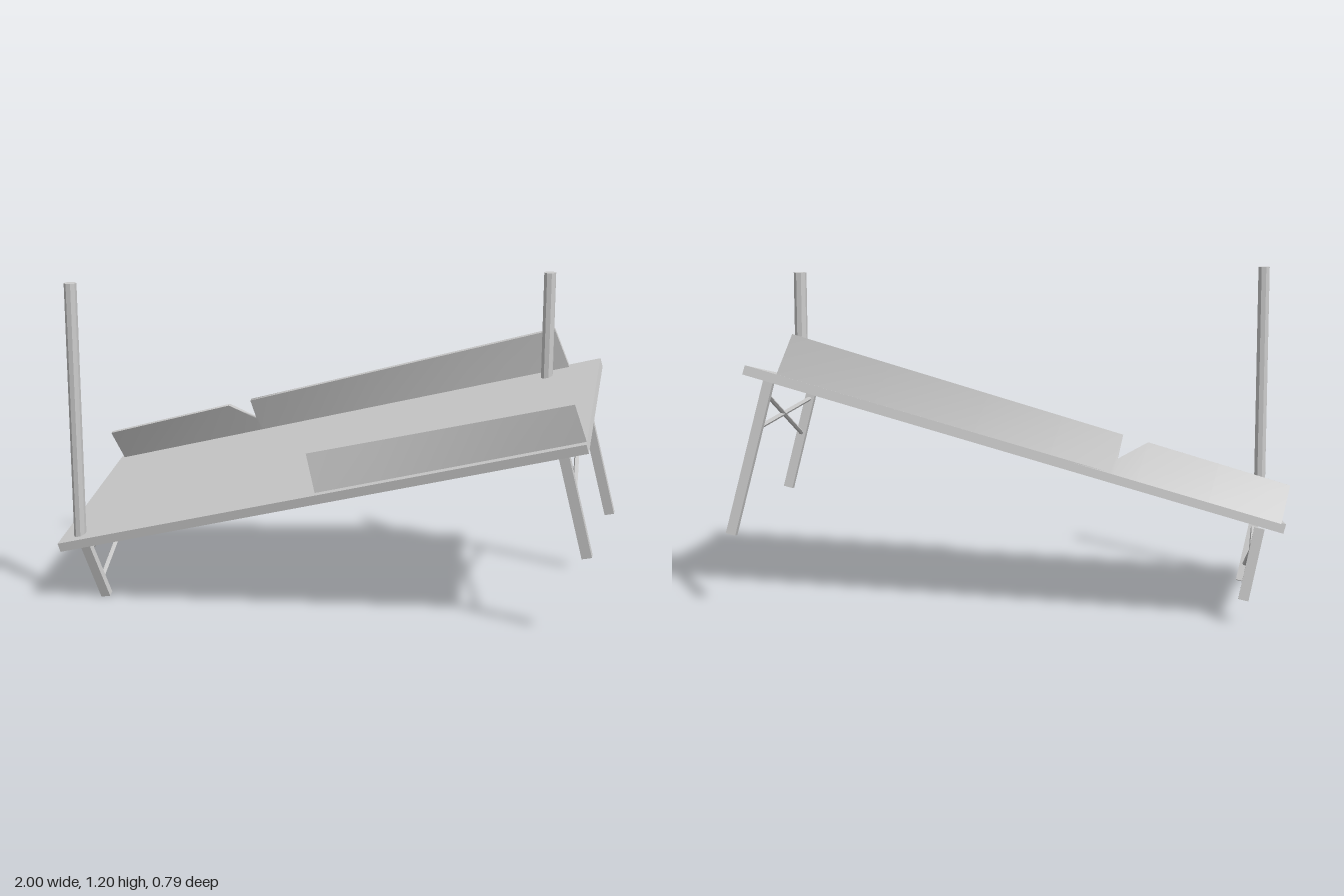
import * as THREE from 'three';

const V = (x, y, z) => new THREE.Vector3(x, y, z);

export function createModel() {
  const model = new THREE.Group();
  const mat = new THREE.MeshStandardMaterial({ color: 0xcccccc });

  const add = (name, geo) => {
    const mesh = new THREE.Mesh(geo, mat);
    mesh.name = name;
    model.add(mesh);
    return mesh;
  };

  // Cylinder with flat facets
  const facetedRod = (radius, height, sides) => {
    const geo = new THREE.CylinderGeometry(radius, radius, height, sides).toNonIndexed();
    geo.rotateY(Math.PI / sides);
    geo.computeVertexNormals();
    return geo;
  };

  // Places a y-aligned mesh so that it runs from a to b
  const span = (mesh, a, b) => {
    mesh.position.copy(a).lerp(b, 0.5);
    mesh.quaternion.setFromUnitVectors(V(0, 1, 0), b.clone().sub(a).normalize());
  };

  // Tilted table top with its own axes, very slightly twisted towards the high end
  const ax = V(0.966, 0.258, 0).normalize();
  const az = ax.clone().cross(V(-0.257, 0.952, 0.165)).normalize();
  const ay = az.clone().cross(ax);
  const thick = 0.034;
  const topGeo = new THREE.BoxGeometry(1.978, thick, 0.765);
  const tp = topGeo.attributes.position;
  for (let i = 0; i < tp.count; i++) {
    if (tp.getX(i) > 0) tp.setY(i, tp.getY(i) - 0.01 * tp.getZ(i));
  }
  topGeo.computeVertexNormals();
  const top = add('tableTop', topGeo);
  top.quaternion.setFromRotationMatrix(new THREE.Matrix4().makeBasis(ax, ay, az));
  top.position.set(-0.006, 0.522, 0.008).addScaledVector(ay, thick / 2);

  // Upright posts
  const post = (name, x, z, y0) => {
    const h = 1.2 - y0;
    add(name, facetedRod(0.0225, h, 8)).position.set(x, y0 + h / 2, z);
  };
  post('frontPost', -0.883, 0.342, 0.25);
  post('backPost', 0.735, -0.292, 0.79);

  // Splayed legs, [top, foot]
  const legs = {
    frontRightLeg: [V(-0.868, 0.235, 0.335), V(-0.82, 0.008, 0.262)],
    backRightLeg: [V(-0.896, 0.335, -0.32), V(-0.846, 0.086, -0.349)],
    frontLeftLeg: [V(0.876, 0.702, 0.335), V(0.966, 0.317, 0.291)],
    backLeftLeg: [V(0.85, 0.812, -0.32), V(0.98, 0.266, -0.387)],
  };
  for (const [name, [a, b]] of Object.entries(legs)) {
    span(add(name, new THREE.BoxGeometry(0.036, a.distanceTo(b), 0.026)), b, a);
  }

  // Crossed braces between the legs of each end, given by their heights on the legs
  const onLeg = (name, y) => {
    const [a, b] = legs[name];
    return a.clone().lerp(b, (a.y - y) / (a.y - b.y));
  };
  const brace = (side, yFront, yBack) => {
    const a = onLeg(`front${side}Leg`, yFront), b = onLeg(`back${side}Leg`, yBack);
    span(add(`brace${side}`, facetedRod(0.0085, a.distanceTo(b), 6)), a, b);
  };
  brace('Right', 0.205, 0.18);
  brace('Right', 0.07, 0.306);
  brace('Left', 0.668, 0.645);
  brace('Left', 0.53, 0.77);

  // Twisted side board: columns of [position along, height share] between four corners
  const board = (name, columns, [b0, b1, t0, t1]) => {
    const n = columns.length - 1;
    const geo = new THREE.BoxGeometry(1, 1, 0.018, n, 1, 1);
    const pos = geo.attributes.position;
    for (let i = 0; i < pos.count; i++) {
      const [s, height] = columns[Math.round((pos.getX(i) + 0.5) * n)];
      const t = pos.getY(i) > 0 ? height : 0;
      const p = b0.clone().lerp(b1, s).lerp(t0.clone().lerp(t1, s), t);
      p.addScaledVector(az, pos.getZ(i));
      pos.setXYZ(i, p.x, p.y, p.z);
    }
    geo.computeVertexNormals();
    add(name, geo);
  };
  board('backBoard',
    [[0, 1], [0.14, 1], [0.28, 1], [0.326, 0.4], [0.33, 1], [0.45, 1], [0.6, 1], [0.8, 1], [1, 1]],
    [V(-0.97, 0.36, -0.36), V(0.812, 0.838, -0.348), V(-0.997, 0.482, -0.288), V(0.755, 0.984, -0.33)]);
  board('frontBoard',
    [[0, 1], [0.25, 1], [0.5, 1], [0.75, 1], [1, 1]],
    [V(0.02, 0.506, 0.376), V(0.957, 0.753, 0.369), V(-0.018, 0.64, 0.352), V(0.915, 0.882, 0.385)]);

  return model;
}
